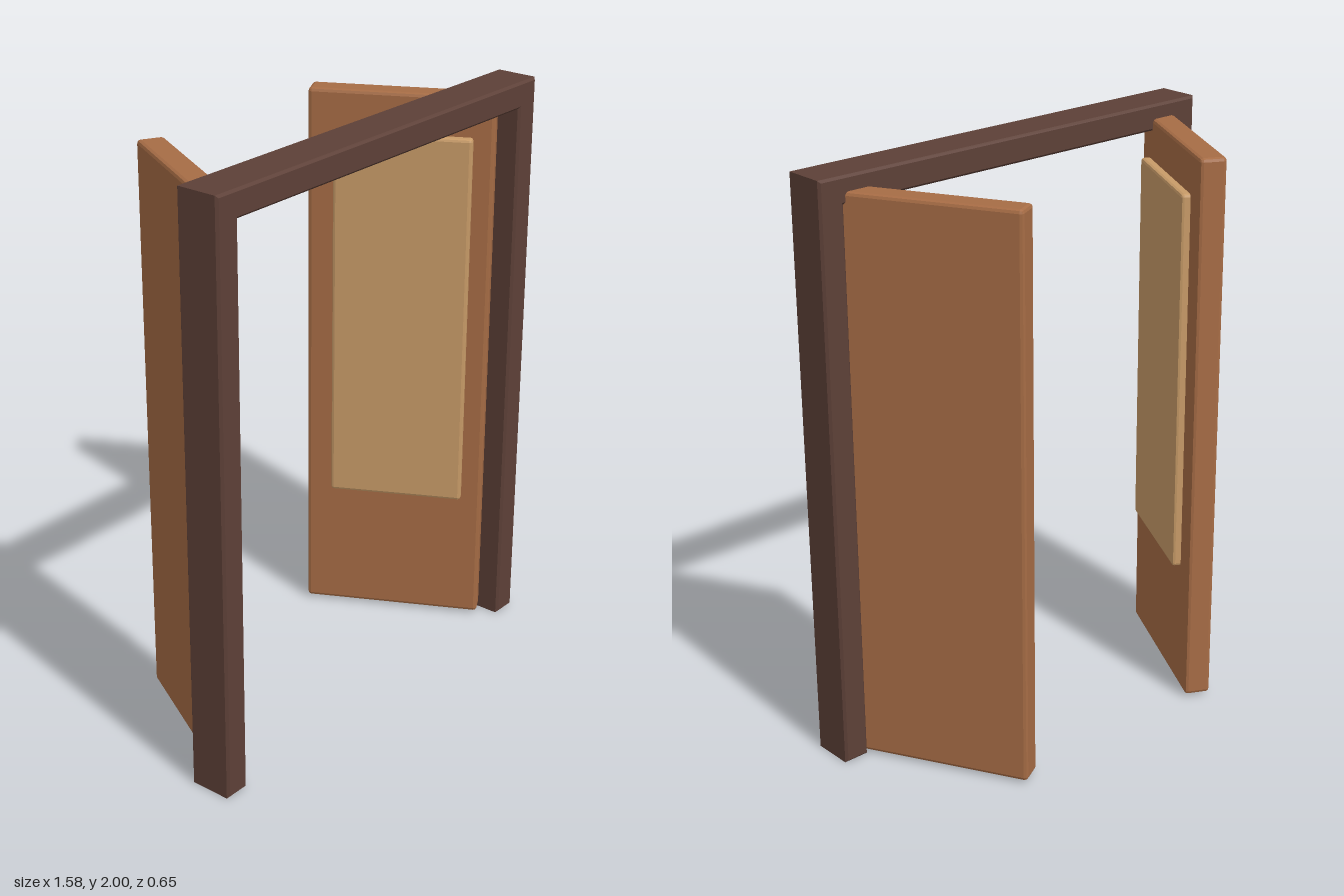
import * as THREE from 'three';
import { RoundedBoxGeometry } from 'three/addons/geometries/RoundedBoxGeometry.js';

const material = (name, color) => {
  const m = new THREE.MeshStandardMaterial({ color });
  m.name = name;
  return m;
};

// Box with small bevelled edges and flat facets
function bevelBox(name, w, h, d, r, mat) {
  const geo = new RoundedBoxGeometry(w, h, d, 1, r);
  geo.computeVertexNormals();
  const mesh = new THREE.Mesh(geo, mat);
  mesh.name = name;
  return mesh;
}

export function createModel() {
  const model = new THREE.Group();
  model.name = 'doubleDoorway';

  const frameWood = material('dark frame wood', 0x5d4037);
  const doorWood = material('door wood', 0xa66c45);
  const panelWood = material('light panel wood', 0xc89b68);

  // Door frame: two posts and a lintel as one bevelled outline
  const outer = 0.79, inner = 0.70, top = 2, under = 1.91, bevel = 0.008;
  const outline = new THREE.Shape([
    [-outer, 0], [-inner, 0], [-inner, under], [inner, under],
    [inner, 0], [outer, 0], [outer, top], [-outer, top],
  ].map(([x, y]) => new THREE.Vector2(x, y)));
  const frameGeo = new THREE.ExtrudeGeometry(outline, {
    depth: 0.155 - 2 * bevel,
    bevelThickness: bevel, bevelSize: bevel, bevelOffset: -bevel, bevelSegments: 1,
  });
  const frame = new THREE.Mesh(frameGeo, frameWood);
  frame.name = 'doorFrame';
  frame.position.z = 0.17 + bevel;
  model.add(frame);

  // Two doors swung open to the back, each with a raised inner panel
  const swing = THREE.MathUtils.degToRad(62);
  for (const side of [-1, 1]) {
    const door = new THREE.Group();
    door.name = side > 0 ? 'leftDoor' : 'rightDoor';
    door.position.set(side * 0.538, 0, -0.031);
    door.rotation.y = -side * swing;

    const leaf = bevelBox('doorLeaf', 0.63, 1.94, 0.09, 0.012, doorWood);
    leaf.position.y = 0.98;
    const panel = bevelBox('doorPanel', 0.469, 1.335, 0.04, 0.01, panelWood);
    panel.position.set(side * 0.01, 1.143, 0.055);

    door.add(leaf, panel);
    model.add(door);
  }
  return model;
}
